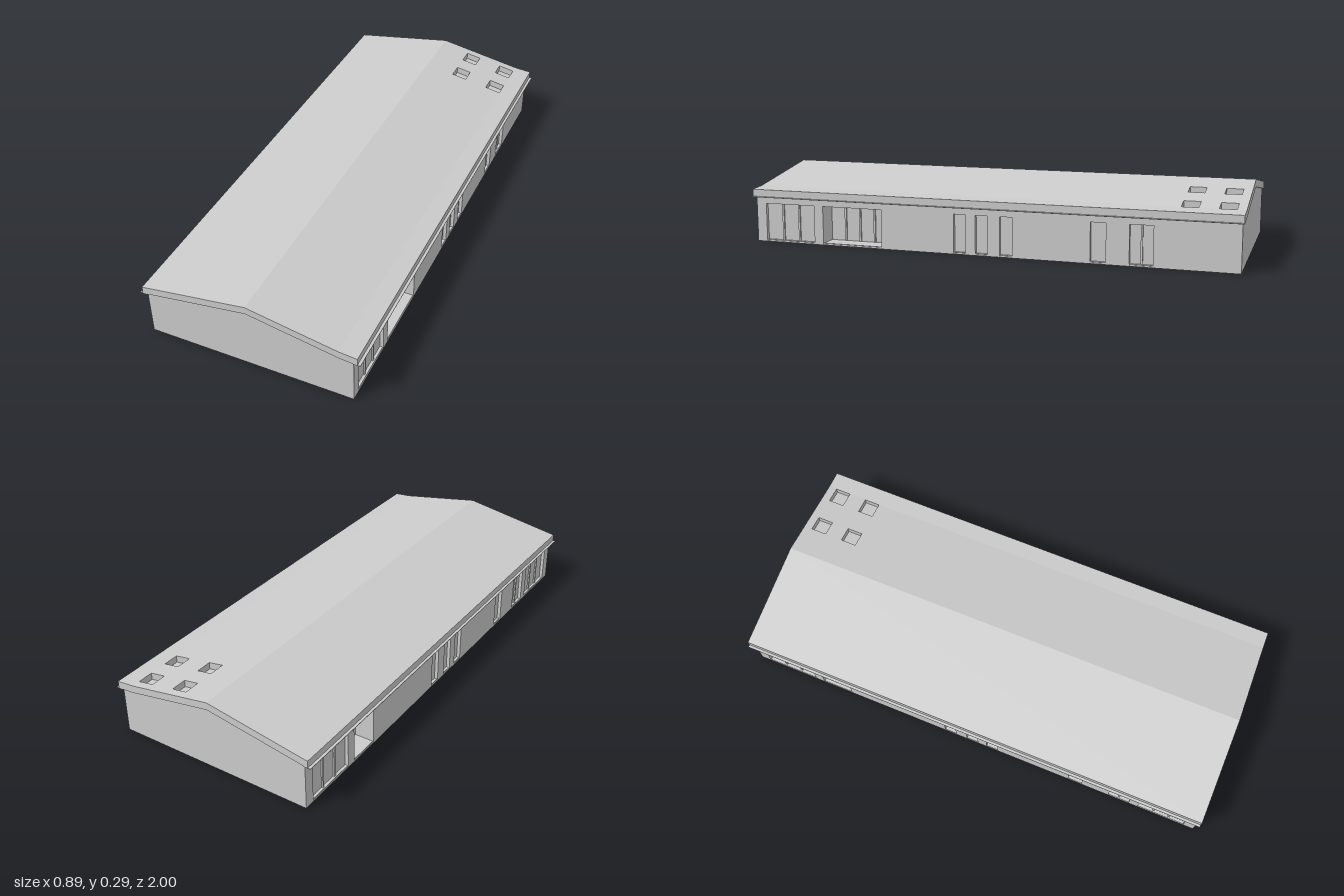
import * as THREE from 'three';

const mat = new THREE.MeshStandardMaterial({ color: 0xcccccc, flatShading: true });
const WALL_X = 0.415, WALL_Z = 0.993, T = 0.02, HEAD = 0.16, SILL = 0.004;

// roof top height, with a kink near the right-hand eave
const roofTop = x => x > 0.36 ? 0.226 - (x - 0.36) * 0.086
  : x >= 0 ? 0.29 - x * 0.178 : 0.29 + x * 0.163;
const ROOF_T = 0.031;

function add(parent, name, geo, x = 0, y = 0, z = 0) {
  const m = new THREE.Mesh(geo, mat);
  m.name = name;
  m.position.set(x, y, z);
  parent.add(m);
  return m;
}

// box given by its limits
function block(parent, name, x0, x1, y0, y1, z0, z1) {
  return add(parent, name, new THREE.BoxGeometry(x1 - x0, y1 - y0, z1 - z0),
    (x0 + x1) / 2, (y0 + y1) / 2, (z0 + z1) / 2);
}

function rect(a0, a1, b0, b1, Type = THREE.Shape) {
  const s = new Type();
  s.moveTo(a0, b0);
  s.lineTo(a1, b0);
  s.lineTo(a1, b1);
  s.lineTo(a0, b1);
  s.closePath();
  return s;
}

// flat plan panel, extruded and then lifted to follow the roof slope
function roofPanel(parent, name, x0, x1, holes = []) {
  const s = rect(x0, x1, -1, 1);
  for (const [a, b, c, d] of holes) s.holes.push(rect(a, b, -d, -c, THREE.Path));
  const g = new THREE.ExtrudeGeometry(s, { depth: ROOF_T, bevelEnabled: false });
  g.rotateX(-Math.PI / 2);
  const p = g.attributes.position;
  for (let i = 0; i < p.count; i++) p.setY(i, p.getY(i) - ROOF_T + roofTop(p.getX(i)));
  g.computeVertexNormals();
  add(parent, name, g);
}

// long wall with openings; side is +1 for left (+x), -1 for right (-x)
function sideWall(parent, side, windows, porch) {
  const g = new THREE.Group();
  g.name = side > 0 ? 'leftWall' : 'rightWall';
  parent.add(g);
  const s = rect(-WALL_Z, WALL_Z, 0, 0.192);
  for (const [a, b] of [...windows, porch]) s.holes.push(rect(a, b, SILL, HEAD, THREE.Path));
  const geo = new THREE.ExtrudeGeometry(s, { depth: T, bevelEnabled: false });
  geo.rotateY(-Math.PI / 2);
  add(g, 'wallPanel', geo, side > 0 ? WALL_X : -WALL_X + T);

  // box measured inward from the outer wall face
  const inset = (name, d0, d1, y0, y1, z0, z1) => {
    const a = side * (WALL_X - d0), b = side * (WALL_X - d1);
    block(g, name, Math.min(a, b), Math.max(a, b), y0, y1, z0, z1);
  };
  // recessed glazing with upright bars
  const glaze = (z0, z1, depth, bars) => {
    inset('pane', depth, depth + 0.005, SILL, HEAD, z0, z1);
    for (let i = 1; i <= bars; i++) {
      const z = z0 + (z1 - z0) * i / (bars + 1);
      inset('mullion', depth - 0.006, depth, SILL, HEAD, z - 0.004, z + 0.004);
    }
  };
  for (const [a, b, bars] of windows) glaze(a, b, 0.014, bars);

  // recessed entrance porch
  const [p0, p1] = porch, D = 0.08;
  inset('porchCeiling', T, D, HEAD, HEAD + 0.006, p0, p1);
  inset('porchSide', T, D + 0.005, SILL, HEAD, p0 - 0.006, p0);
  inset('porchSide', T, D + 0.005, SILL, HEAD, p1, p1 + 0.006);
  glaze(p0, p1, D, 3);
}

export function createModel() {
  const model = new THREE.Group();
  model.name = 'building';

  // floor slab, held just above the wall feet
  block(model, 'floor', -WALL_X + 0.003, WALL_X - 0.003, SILL, 0.008, -WALL_Z + 0.003, WALL_Z - 0.003);

  // long walls with windows [z0, z1, bars] and porch [z0, z1]
  sideWall(model, 1, [[0.73, 0.95, 2], [0.07, 0.12, 0], [-0.02, 0.03, 0], [-0.12, -0.07, 0],
    [-0.49, -0.43, 0], [-0.67, -0.58, 1]], [0.43, 0.69]);
  sideWall(model, -1, [[-0.95, -0.73, 2], [-0.12, -0.07, 0], [-0.02, 0.03, 0], [0.07, 0.12, 0],
    [0.44, 0.5, 0], [0.62, 0.71, 1], [0.75, 0.95, 2]], [-0.69, -0.56]);

  // gable walls reaching up under the roof
  const gable = new THREE.Shape();
  gable.moveTo(-WALL_X, 0);
  gable.lineTo(WALL_X, 0);
  for (const x of [WALL_X, 0.36, 0, -WALL_X]) gable.lineTo(x, roofTop(x) - ROOF_T + 0.002);
  const gableGeo = new THREE.ExtrudeGeometry(gable, { depth: T, bevelEnabled: false });
  add(model, 'frontGable', gableGeo, 0, 0, WALL_Z - T);
  add(model, 'backGable', gableGeo, 0, 0, -WALL_Z);

  // roof slopes, skylights cut through the left slope
  const roof = new THREE.Group();
  roof.name = 'roof';
  model.add(roof);
  const skylights = [];
  for (const [x0, x1] of [[0.126, 0.19], [0.29, 0.357]])
    for (const [z0, z1] of [[-0.965, -0.9], [-0.825, -0.76]]) skylights.push([x0, x1, z0, z1]);
  roofPanel(roof, 'rightSlope', -0.432, 0);
  roofPanel(roof, 'leftSlope', 0, 0.36, skylights);
  roofPanel(roof, 'leftEave', 0.36, 0.432);
  for (const [x0, x1, z0, z1] of skylights) {
    const y = roofTop((x0 + x1) / 2) - ROOF_T;
    const pane = block(roof, 'skylightPane', x0 - 0.004, x1 + 0.004, y - 0.003, y + 0.003, z0 - 0.004, z1 + 0.004);
    pane.rotation.z = -Math.atan(0.178);
  }

  // fascia boards and thin eave lips
  for (const s of [-1, 1]) {
    block(roof, 'fascia', s * 0.429 - 0.003, s * 0.429 + 0.003, 0.19, 0.217, -1, 1);
    block(roof, 'eaveLip', s * 0.428 - 0.015, s * 0.428 + 0.015, 0.1885, 0.191, -1, 1);
  }

  // inner partitions: cross walls [x0, x1, z] and corridor walls [x, z0, z1]
  const inner = new THREE.Group();
  inner.name = 'partitions';
  model.add(inner);
  const W = 0.006, TOP = 0.19;
  for (const [x0, x1, z] of [[0.08, 0.4, 0.36], [0.08, 0.4, -0.14], [0.08, 0.4, -0.56],
    [-0.4, -0.08, 0.75], [-0.4, -0.08, 0.13], [-0.4, -0.08, -0.45],
    [-0.4, -0.22, -0.7], [-0.17, -0.08, -0.7], [0.08, 0.4, -0.75]])
    block(inner, 'crossWall', x0, x1, 0, TOP, z - W, z + W);
  for (const [x, z0, z1] of [[0.08, 0.22, 0.36], [0.08, -0.08, 0.17], [0.08, -0.42, -0.14],
    [0.08, -0.56, -0.47], [0.08, -0.93, -0.69], [-0.09, 0.5, 0.75], [-0.09, 0.13, 0.45],
    [-0.09, -0.1, 0.08], [-0.09, -0.45, -0.15], [-0.09, -0.7, -0.52], [-0.09, -0.93, -0.78]])
    block(inner, 'corridorWall', x - W, x + W, 0, TOP, z0, z1);

  return model;
}
